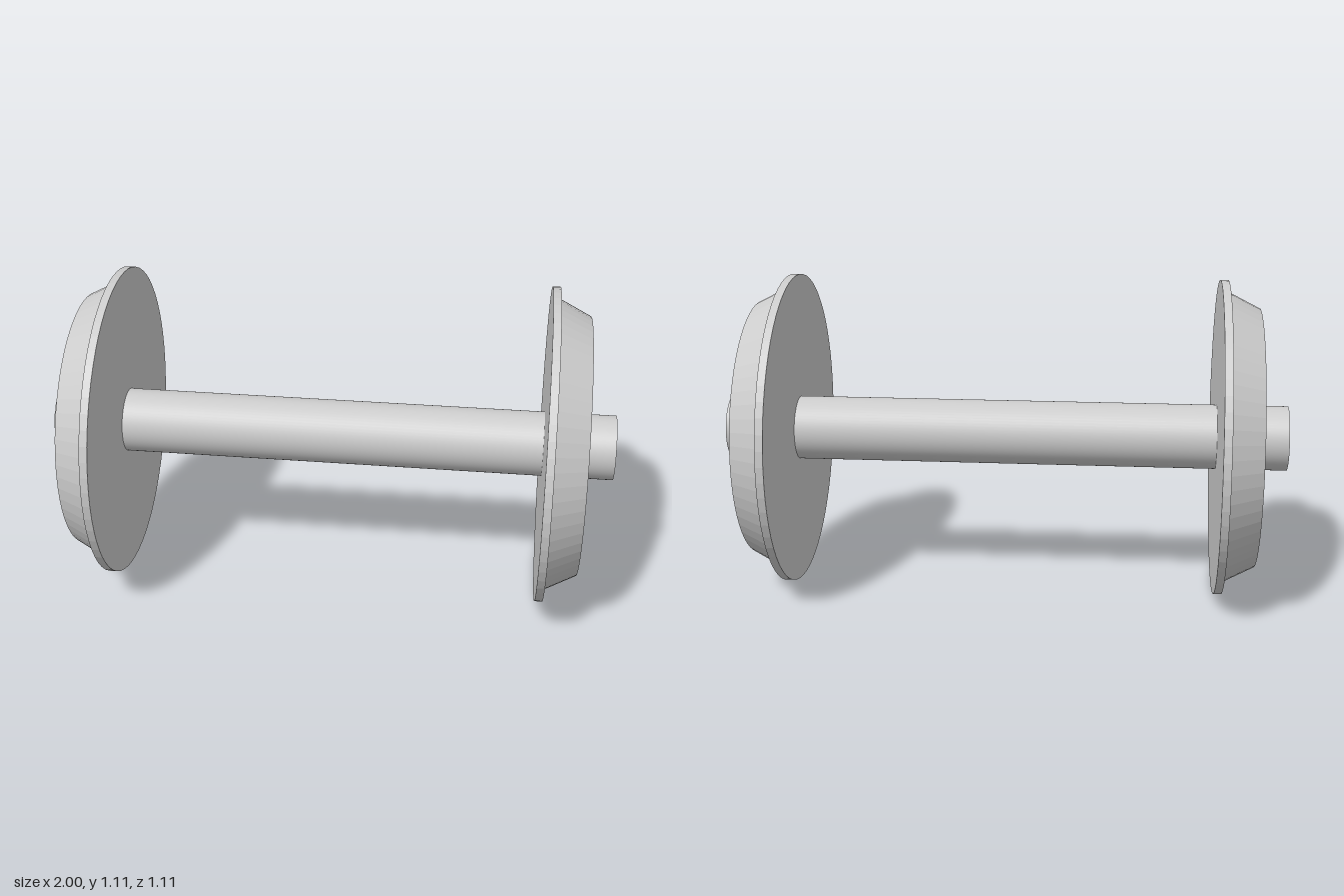
import * as THREE from 'three';

const SEGMENTS = 64;
const AXLE_RADIUS = 0.114;
const FLANGE_RADIUS = 0.556;

// Wheel profile as [radius, distance from the axle's middle]
const WHEEL_PROFILE = [
  [0, 0.75],
  [FLANGE_RADIUS, 0.75],  // inner face
  [FLANGE_RADIUS, 0.778], // flange rim
  [0.515, 0.778],         // flange step
  [0.458, 0.89],          // tapered tread
  [0, 0.89],              // outer face
];

export function createModel() {
  const group = new THREE.Group();
  group.name = 'wheelset';
  const material = new THREE.MeshStandardMaterial({ color: 0xcccccc, flatShading: true });
  const axleMaterial = new THREE.MeshStandardMaterial({ color: 0xcccccc });

  // Axle running through both wheels
  const axleGeometry = new THREE.CylinderGeometry(AXLE_RADIUS, AXLE_RADIUS, 2, SEGMENTS);
  axleGeometry.rotateZ(-Math.PI / 2);
  const axle = new THREE.Mesh(axleGeometry, axleMaterial);
  axle.name = 'axle';
  axle.position.y = FLANGE_RADIUS;
  group.add(axle);

  // Flanged wheels, flanges facing inwards
  const points = WHEEL_PROFILE.map(([r, d]) => new THREE.Vector2(r, d));
  const wheelGeometry = new THREE.LatheGeometry(points, SEGMENTS);
  wheelGeometry.rotateZ(-Math.PI / 2);
  for (const [name, turn] of [['leftWheel', 0], ['rightWheel', Math.PI]]) {
    const wheel = new THREE.Mesh(wheelGeometry, material);
    wheel.name = name;
    wheel.position.y = FLANGE_RADIUS;
    wheel.rotation.y = turn;
    group.add(wheel);
  }

  return group;
}
